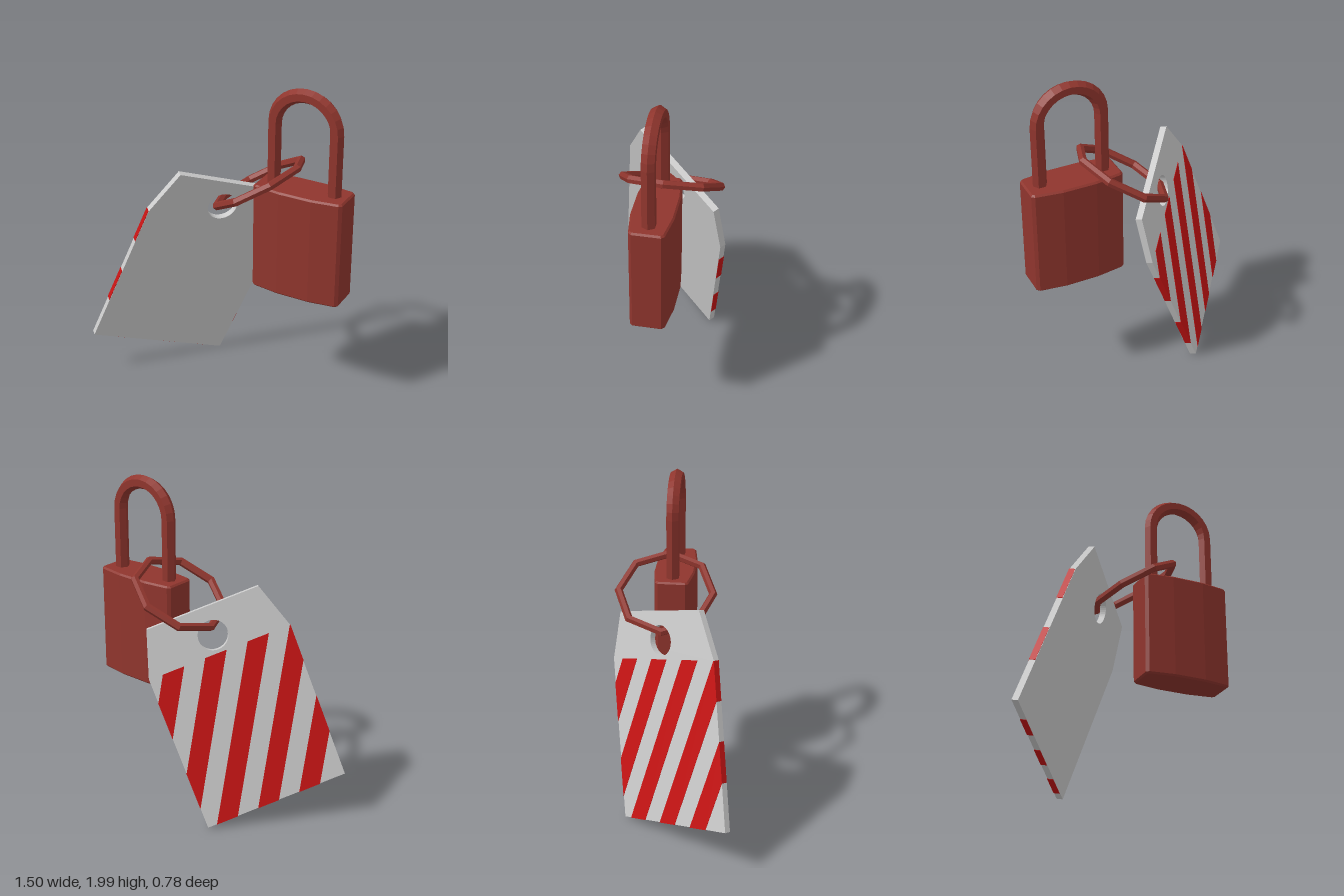
import * as THREE from 'three';

const material = (color) => new THREE.MeshStandardMaterial({ color, flatShading: true });

function addMesh(parent, name, geometry, mat, x = 0, y = 0, z = 0) {
  const mesh = new THREE.Mesh(geometry, mat);
  mesh.name = name;
  mesh.position.set(x, y, z);
  parent.add(mesh);
  return mesh;
}

const toShape = (points) => new THREE.Shape(points.map(([x, y]) => new THREE.Vector2(x, y)));

// Cuts a convex polygon at x = limit; side = 1 keeps larger x, -1 keeps smaller x
function clipX(points, limit, side) {
  const result = [];
  points.forEach((p, i) => {
    const q = points[(i + 1) % points.length];
    const dp = (p[0] - limit) * side;
    const dq = (q[0] - limit) * side;
    if (dp >= 0) result.push(p);
    if (dp * dq < 0) {
      const t = dp / (dp - dq);
      result.push([limit, p[1] + (q[1] - p[1]) * t]);
    }
  });
  return result;
}

function createPadlock(metal) {
  const lock = new THREE.Group();
  lock.name = 'padlock';
  lock.position.set(0.473, 0, -0.047);

  // Body: faceted outline with bevelled edges, extruded upwards
  const quarter = [[0.267, 0.078], [0.255, 0.09], [0.1, 0.112]];
  const half = [...quarter, ...quarter.map(([x, y]) => [-x, y]).reverse()];
  const outline = [...half, ...half.map(([x, y]) => [-x, -y])];
  const bevel = 0.01;
  const body = new THREE.ExtrudeGeometry(toShape(outline), {
    depth: 0.66 - 2 * bevel, bevelEnabled: true, bevelSize: bevel, bevelThickness: bevel, bevelSegments: 1,
  });
  body.rotateX(-Math.PI / 2);
  addMesh(lock, 'lockBody', body, metal, 0, 0.74 + bevel, 0);

  // Shackle: hexagonal bar, half ring on two legs
  const radius = 0.19, bar = 0.042, archY = 2 - radius - bar, legBase = 1.38;
  addMesh(lock, 'shackleArch', new THREE.TorusGeometry(radius, bar, 6, 14, Math.PI), metal, 0, archY, 0);
  for (const side of [-1, 1]) {
    const leg = new THREE.CylinderGeometry(bar, bar, archY - legBase, 6, 1, true, Math.PI / 2);
    addMesh(lock, 'shackleLeg', leg, metal, side * radius, (archY + legBase) / 2, 0);
  }
  return lock;
}

function createTag(grey, red) {
  const width = 0.879, shoulder = 0.975, top = 1.257, inset = 0.094, thickness = 0.038;
  const tag = new THREE.Group();
  tag.name = 'tag';

  // Lean the tag: its width runs along u, its height along v
  const u = new THREE.Vector3(0.597, -0.324, -0.734).normalize();
  const n = u.clone().cross(new THREE.Vector3(0.369, 0.923, -0.108)).normalize();
  const v = n.clone().cross(u);
  tag.quaternion.setFromRotationMatrix(new THREE.Matrix4().makeBasis(u, v, n));
  tag.position.set(-0.72, 0.29, 0.385);

  // Plate with clipped top corners and a hole
  const plate = toShape([[0, 0], [width, 0], [width, shoulder], [width - inset, top], [inset, top], [0, shoulder]]);
  plate.holes.push(new THREE.Path().absarc(width / 2, 1.085, 0.09, 0, Math.PI * 2, true));
  const plateGeometry = new THREE.ExtrudeGeometry(plate, { depth: thickness, bevelEnabled: false, curveSegments: 24 });
  addMesh(tag, 'tagPlate', plateGeometry, grey, 0, 0, -thickness);

  // Slanted stripes on the back, wrapping over the side and bottom edges
  const proud = 0.002, lean = 0.557, stripe = 0.133;
  for (let i = 0; i < 5; i++) {
    const b = 0.162 + 0.264 * i;
    let points = [[b, -proud], [b + stripe, -proud], [b + stripe - lean, shoulder], [b - lean, shoulder]];
    points = clipX(clipX(points, -proud, 1), width + proud, -1);
    const geometry = new THREE.ExtrudeGeometry(toShape(points), { depth: thickness, bevelEnabled: false });
    addMesh(tag, 'tagStripe', geometry, red, 0, 0, -thickness - proud);
  }
  return tag;
}

export function createModel() {
  const model = new THREE.Group();
  model.name = 'taggedPadlock';
  const metal = material(0x8f352d);

  model.add(createPadlock(metal));
  model.add(createTag(material(0xcccccc), material(0xc81414)));

  // Eight-sided link joining the tag to the lock
  const ring = new THREE.TorusGeometry(0.281, 0.025, 6, 8);
  ring.rotateX(Math.PI / 2);
  addMesh(model, 'linkRing', ring, metal, 0.173, 1.35, -0.077).rotation.z = 0.55;

  return model;
}
